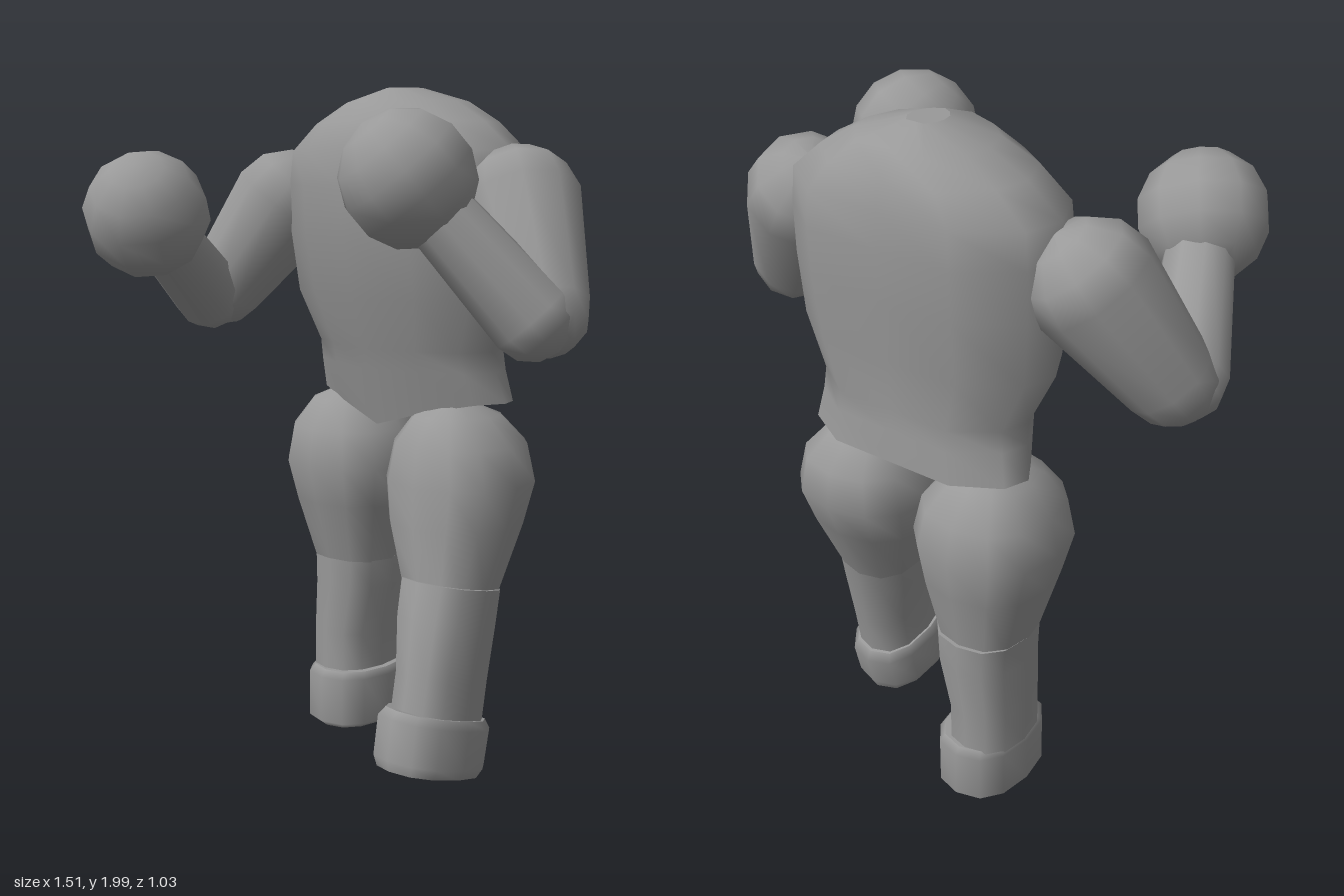
import * as THREE from 'three';

const grey = new THREE.MeshStandardMaterial({ color: 0x999999 });
grey.name = 'grey';

// Cross-sections as unit outlines, running from +x round the front (+v) to the back
const roundSection = Array.from({ length: 12 }, (_, i) => {
  const a = (i / 12) * Math.PI * 2;
  const soft = (n) => Math.sign(n) * Math.abs(n) ** 0.85;
  return [soft(Math.cos(a)), soft(Math.sin(a))];
});
const half = [[1, -0.1], [0.86, 0.42], [0.5, 0.77]];
const halfBack = [[0.55, -1], [0.92, -0.55]];
const mirror = (list) => list.map(([u, v]) => [-u, v]).reverse();
const torsoSection = [...half, [0, 1], ...mirror(half), ...mirror(halfBack), [0, -1], ...halfBack];

// Lofts a section through rings listed top to bottom:
// [y, centreX, centreZ, radiusX, radiusZ, slope along z, dip at the front centre]
function loft(name, section, rings) {
  const n = section.length, pos = [], index = [];
  const ringPoints = ([y, cx, cz, rx, rz, slope = 0, dip = 0]) => section.map(([u, v]) => [
    cx + u * rx,
    y + slope * v * rz - dip * (1 - Math.abs(u)) * Math.max(0, v),
    cz + v * rz,
  ]);
  const loops = rings.map(ringPoints);
  loops.forEach((loop) => loop.forEach((p) => pos.push(...p)));
  for (let i = 0; i < rings.length - 1; i++) {
    for (let j = 0; j < n; j++) {
      const a = i * n + j, b = i * n + (j + 1) % n;
      index.push(a, b, a + n, b, b + n, a + n);
    }
  }
  // Caps with their own vertices, so that their rims stay sharp
  const cap = (loop, [y, cx, cz], top) => {
    const start = pos.length / 3;
    loop.forEach((p) => pos.push(...p));
    pos.push(cx, y, cz);
    for (let j = 0; j < n; j++) {
      const a = start + j, b = start + (j + 1) % n;
      index.push(start + n, top ? b : a, top ? a : b);
    }
  };
  cap(loops[0], rings[0], true);
  cap(loops[loops.length - 1], rings[rings.length - 1], false);
  const geo = new THREE.BufferGeometry();
  geo.setAttribute('position', new THREE.Float32BufferAttribute(pos, 3));
  geo.setIndex(index);
  geo.computeVertexNormals();
  return part(name, geo);
}

function part(name, geo) {
  const mesh = new THREE.Mesh(geo, grey);
  mesh.name = name;
  return mesh;
}

// Rounded tapering limb between two joint centres
function limb(name, from, to, r0, r1) {
  const a = new THREE.Vector3(...from), b = new THREE.Vector3(...to);
  const length = a.distanceTo(b), profile = [];
  for (let i = 0; i <= 3; i++) {
    const t = (i / 3) * Math.PI / 2;
    profile.push(new THREE.Vector2(r0 * Math.sin(t), -r0 * Math.cos(t)));
  }
  for (let i = 0; i <= 3; i++) {
    const t = (i / 3) * Math.PI / 2;
    profile.push(new THREE.Vector2(r1 * Math.cos(t), length + r1 * Math.sin(t)));
  }
  const mesh = part(name, new THREE.LatheGeometry(profile, 10));
  mesh.position.copy(a);
  mesh.quaternion.setFromUnitVectors(new THREE.Vector3(0, 1, 0), b.sub(a).normalize());
  return mesh;
}

function fist(name, x, y, z) {
  const mesh = part(name, new THREE.SphereGeometry(0.185, 10, 7));
  mesh.position.set(x, y, z);
  mesh.rotation.set(0.6, 0, -Math.sign(x) * -0.4);
  return mesh;
}

export function createModel() {
  const model = new THREE.Group();
  model.name = 'figure';

  // Torso with a narrow waist and a pointed front hem
  model.add(loft('torso', torsoSection, [
    [2.0, 0, -0.27, 0.05, 0.06],
    [1.96, 0, -0.265, 0.19, 0.165],
    [1.9, 0, -0.255, 0.3, 0.215],
    [1.82, 0, -0.25, 0.4, 0.24],
    [1.72, 0, -0.248, 0.41, 0.247],
    [1.58, 0, -0.25, 0.41, 0.24],
    [1.4, 0, -0.26, 0.395, 0.21],
    [1.25, 0, -0.28, 0.325, 0.18],
    [1.19, 0, -0.29, 0.33, 0.175],
    [1.1, 0, -0.315, 0.35, 0.155, 0.03, 0.085],
  ]));

  // Left leg, stepping forward
  model.add(loft('leftThigh', roundSection, [
    [1.09, 0.21, -0.28, 0.05, 0.06],
    [1.06, 0.212, -0.28, 0.12, 0.13],
    [0.98, 0.22, -0.285, 0.185, 0.195],
    [0.87, 0.225, -0.28, 0.212, 0.21],
    [0.75, 0.235, -0.25, 0.19, 0.19],
    [0.56, 0.265, -0.19, 0.13, 0.14, 0.2],
  ]));
  model.add(loft('leftShin', roundSection, [
    [0.58, 0.275, -0.185, 0.135, 0.145, 0.2],
    [0.48, 0.285, -0.155, 0.13, 0.15, 0.2],
    [0.32, 0.305, -0.115, 0.108, 0.15, 0.24],
    [0.18, 0.305, -0.09, 0.108, 0.15, 0.26],
  ]));
  model.add(loft('leftFoot', roundSection, [
    [0.215, 0.305, -0.09, 0.115, 0.165, 0.28],
    [0.19, 0.305, -0.085, 0.13, 0.185, 0.28],
    [0.08, 0.308, -0.06, 0.132, 0.18, 0.26],
    [0.05, 0.308, -0.055, 0.115, 0.17, 0.26],
  ]));

  // Right leg, standing straight
  model.add(loft('rightThigh', roundSection, [
    [1.095, -0.23, -0.3, 0.05, 0.06],
    [1.065, -0.225, -0.3, 0.12, 0.13],
    [0.98, -0.218, -0.3, 0.188, 0.195],
    [0.87, -0.215, -0.3, 0.213, 0.212],
    [0.75, -0.212, -0.305, 0.185, 0.19],
    [0.55, -0.21, -0.315, 0.13, 0.14],
  ]));
  model.add(loft('rightShin', roundSection, [
    [0.57, -0.21, -0.32, 0.135, 0.15],
    [0.48, -0.21, -0.32, 0.13, 0.15],
    [0.32, -0.228, -0.315, 0.11, 0.145],
    [0.17, -0.228, -0.315, 0.11, 0.145],
  ]));
  model.add(loft('rightFoot', roundSection, [
    [0.205, -0.213, -0.312, 0.115, 0.155],
    [0.185, -0.213, -0.31, 0.13, 0.175],
    [0.04, -0.213, -0.31, 0.13, 0.175],
    [0.02, -0.213, -0.31, 0.1, 0.15],
  ]));

  // Raised, bent arms with round fists
  const arms = [
    ['left', [0.465, 1.67, -0.235], [0.635, 1.4, -0.125], [0.64, 1.385, -0.06], [0.39, 1.745, 0.145]],
    ['right', [-0.47, 1.66, -0.235], [-0.63, 1.4, -0.12], [-0.64, 1.38, -0.06], [-0.45, 1.64, 0.335]],
  ];
  for (const [side, shoulder, elbow, forearm, hand] of arms) {
    model.add(limb(side + 'UpperArm', shoulder, elbow, 0.17, 0.125));
    model.add(limb(side + 'Forearm', forearm, hand, 0.115, 0.09));
    model.add(fist(side + 'Fist', ...hand));
  }
  return model;
}
